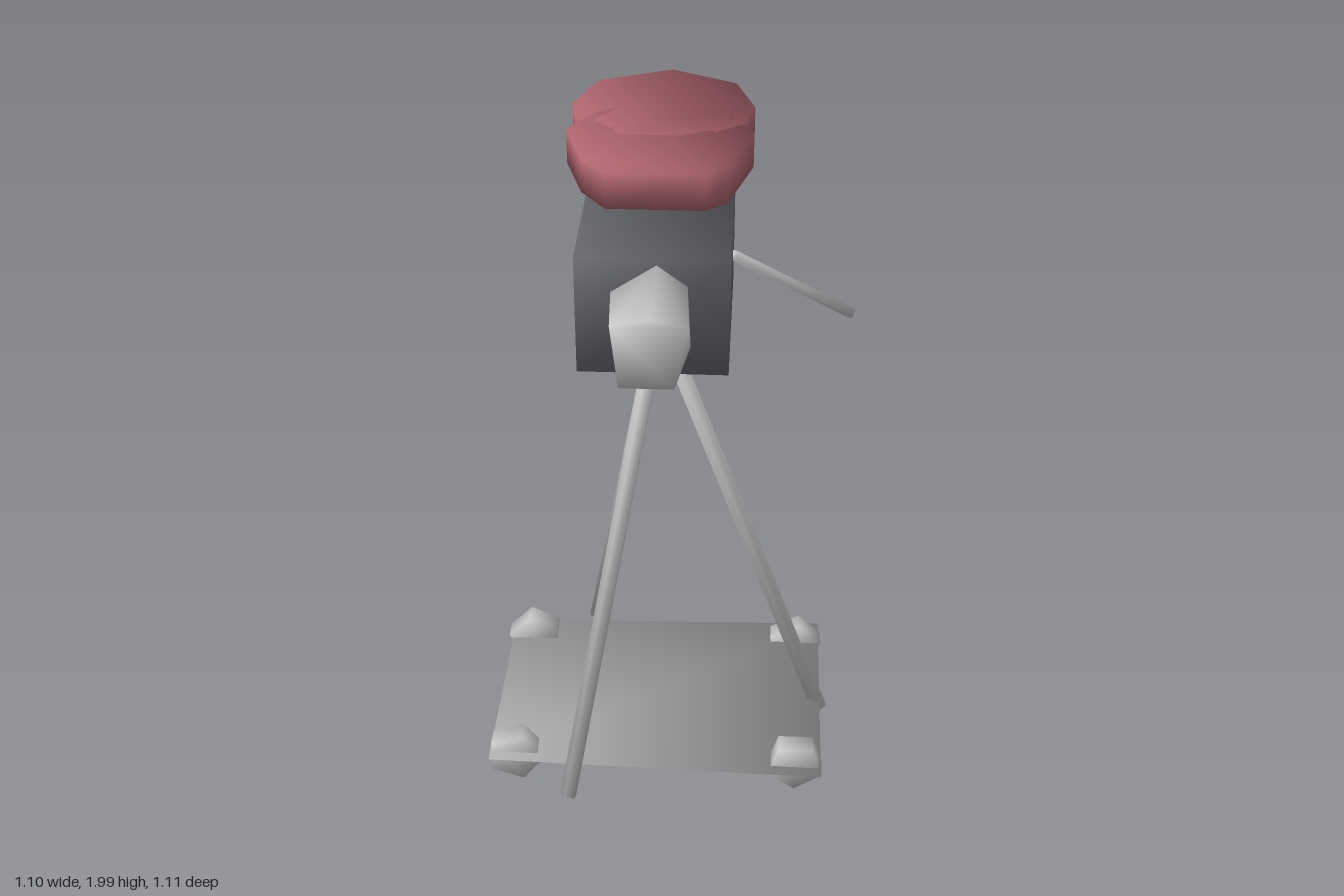
import * as THREE from 'three';
import { mergeVertices } from 'three/addons/utils/BufferGeometryUtils.js';
import { ConvexGeometry } from 'three/addons/geometries/ConvexGeometry.js';

const material = (color) => new THREE.MeshStandardMaterial({ color });
const grey = material(0xcccccc);
const dark = material(0x65676c);
const red = material(0xb0666f);

// Shares corners and averages the face normals there, weighted by corner
// angle, so the low-poly shapes shade softly across their edges.
function soften(geometry) {
  geometry.deleteAttribute('uv');
  geometry.deleteAttribute('normal');
  const merged = mergeVertices(geometry, 1e-4);
  const position = merged.attributes.position;
  const index = merged.index.array;
  const point = (i) => new THREE.Vector3().fromBufferAttribute(position, i);
  const normals = Array.from({ length: position.count }, () => new THREE.Vector3());
  for (let i = 0; i < index.length; i += 3) {
    for (let k = 0; k < 3; k++) {
      const corner = index[i + k];
      const a = point(index[i + (k + 1) % 3]).sub(point(corner));
      const b = point(index[i + (k + 2) % 3]).sub(point(corner));
      const face = a.clone().cross(b).normalize();
      normals[corner].addScaledVector(face, a.angleTo(b));
    }
  }
  const values = normals.flatMap((n) => n.normalize().toArray());
  merged.setAttribute('normal', new THREE.Float32BufferAttribute(values, 3));
  return merged;
}

function part(name, geometry, mat) {
  const mesh = new THREE.Mesh(soften(geometry), mat);
  mesh.name = name;
  return mesh;
}

// Convex solid around a list of [x, y, z] corners.
function hull(name, corners, mat) {
  return part(name, new ConvexGeometry(corners.map((c) => new THREE.Vector3(...c))), mat);
}

// Straight rod between two points.
function rod(name, from, to, rFrom, rTo, sides) {
  const a = new THREE.Vector3(...from);
  const b = new THREE.Vector3(...to);
  const mesh = part(name, new THREE.CylinderGeometry(rTo, rFrom, a.distanceTo(b), sides), grey);
  mesh.position.copy(a).lerp(b, 0.5);
  mesh.quaternion.setFromUnitVectors(new THREE.Vector3(0, 1, 0), b.clone().sub(a).normalize());
  return mesh;
}

// Flat reel from an outline of [x, z] points.
function reel(name, outline) {
  return hull(name, outline.flatMap(([x, z]) => [[x, 1.9, z], [x, 2.0, z]]), red);
}

export function createModel() {
  const model = new THREE.Group();
  model.name = 'movieCamera';

  // Camera body
  const body = part('body', new THREE.BoxGeometry(0.405, 0.34, 0.56), dark);
  body.position.set(-0.0325, 1.645, -0.015);
  model.add(body);

  // Lens: slightly twisted five-sided barrel
  const back = [[-0.14, 1.72], [-0.02, 1.8], [0.06, 1.74], [0.04, 1.6], [-0.1, 1.6]];
  const front = [[-0.12, 1.78], [-0.02, 1.8], [0.075, 1.78], [0.08, 1.73], [0.04, 1.605], [-0.1, 1.605]];
  model.add(hull('lens', [
    ...back.map(([x, y]) => [x, y, 0.27]),
    ...front.map(([x, y]) => [x, y, 0.555]),
  ], grey));

  // Film reels
  model.add(reel('frontReel', [
    [-0.1, -0.31], [0.125, -0.27], [0.22, -0.12], [0.155, 0.11], [0.1, 0.155],
    [-0.16, 0.155], [-0.23, 0.06], [-0.285, -0.12], [-0.21, -0.24],
  ]));
  model.add(reel('rearReel', [
    [-0.02, -0.555], [0.165, -0.46], [0.22, -0.29], [0.19, -0.175], [0.08, -0.09],
    [-0.14, -0.09], [-0.27, -0.2], [-0.285, -0.295], [-0.225, -0.465],
  ]));

  // Pan handle
  model.add(rod('handle', [0.17, 1.64, -0.11], [0.53, 1.235, -0.525], 0.018, 0.021, 4));

  // Tripod legs
  const feet = [[0.48, 0.07, -0.02], [-0.285, 0.07, 0.425], [-0.285, 0.07, -0.45]];
  feet.forEach((foot, i) => {
    model.add(rod('leg' + (i + 1), [-0.03, 1.49, -0.015], foot, 0.025, i === 2 ? 0.014 : 0.026, 5));
  });

  // Dolly plate: thin sheet, high at one pair of opposite corners
  model.add(hull('dollyPlate', [
    [-0.54, 0.094, -0.375], [0.48, 0.118, -0.375],
    [-0.54, 0.118, 0.335], [0.48, 0.094, 0.335],
  ], grey));

  // Dolly wheels: x, z, starting angle
  const wheels = [[-0.465, 0.267, 0.3], [0.4, 0.267, 0], [-0.465, -0.305, 0.8], [0.4, -0.305, 0.5]];
  wheels.forEach(([x, z, turn], i) => {
    const g = new THREE.CylinderGeometry(0.088, 0.088, 0.062, 5);
    g.rotateY(turn).rotateX(Math.PI / 2);
    const wheel = part('wheel' + (i + 1), g, grey);
    wheel.position.set(x, 0.095, z);
    model.add(wheel);
  });

  return model;
}
